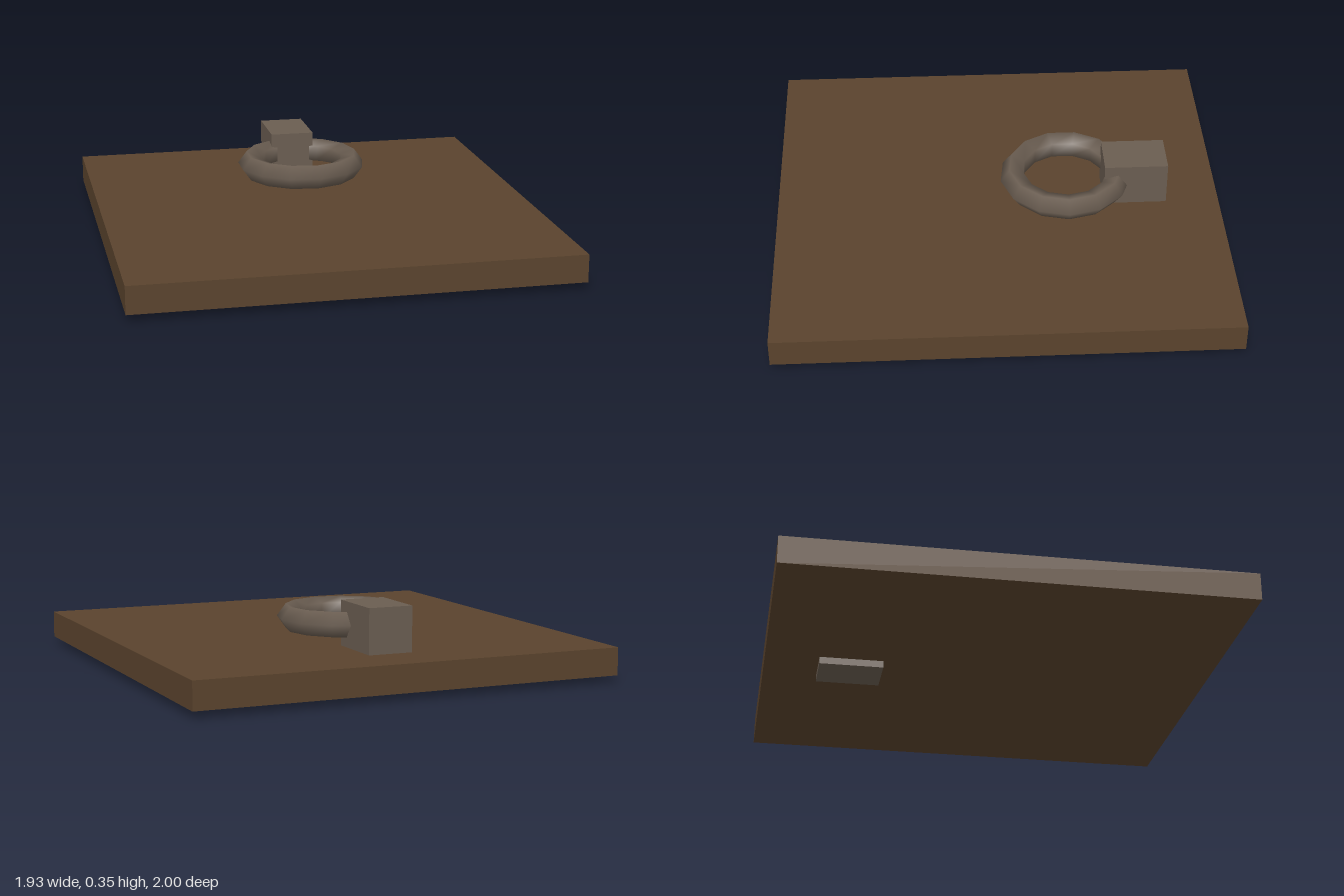
import * as THREE from 'three';

export function createModel() {
  const wood = new THREE.MeshStandardMaterial({ color: 0x5a432d });
  wood.name = 'dark wood';
  const iron = new THREE.MeshStandardMaterial({ color: 0x6a5d51 });
  iron.name = 'dull iron';

  const group = new THREE.Group();
  group.name = 'trapdoor';

  const add = (name, geometry, material, x, y, z) => {
    const mesh = new THREE.Mesh(geometry, material);
    mesh.name = name;
    mesh.position.set(x, y, z);
    group.add(mesh);
  };

  // Flat door panel
  add('panel', new THREE.BoxGeometry(1.932, 0.122, 2), wood, 0, 0.092, 0);

  // Block running right through the panel and holding the ring
  add('ringBracket', new THREE.BoxGeometry(0.2, 0.352, 0.284), iron, 0, 0.176, -0.618);

  // Low-sided pull ring lying flat above the panel
  const ring = new THREE.TorusGeometry(0.239, 0.058, 5, 13).rotateX(-Math.PI / 2);
  add('pullRing', ring, iron, 0.008, 0.252, -0.305);

  return group;
}
